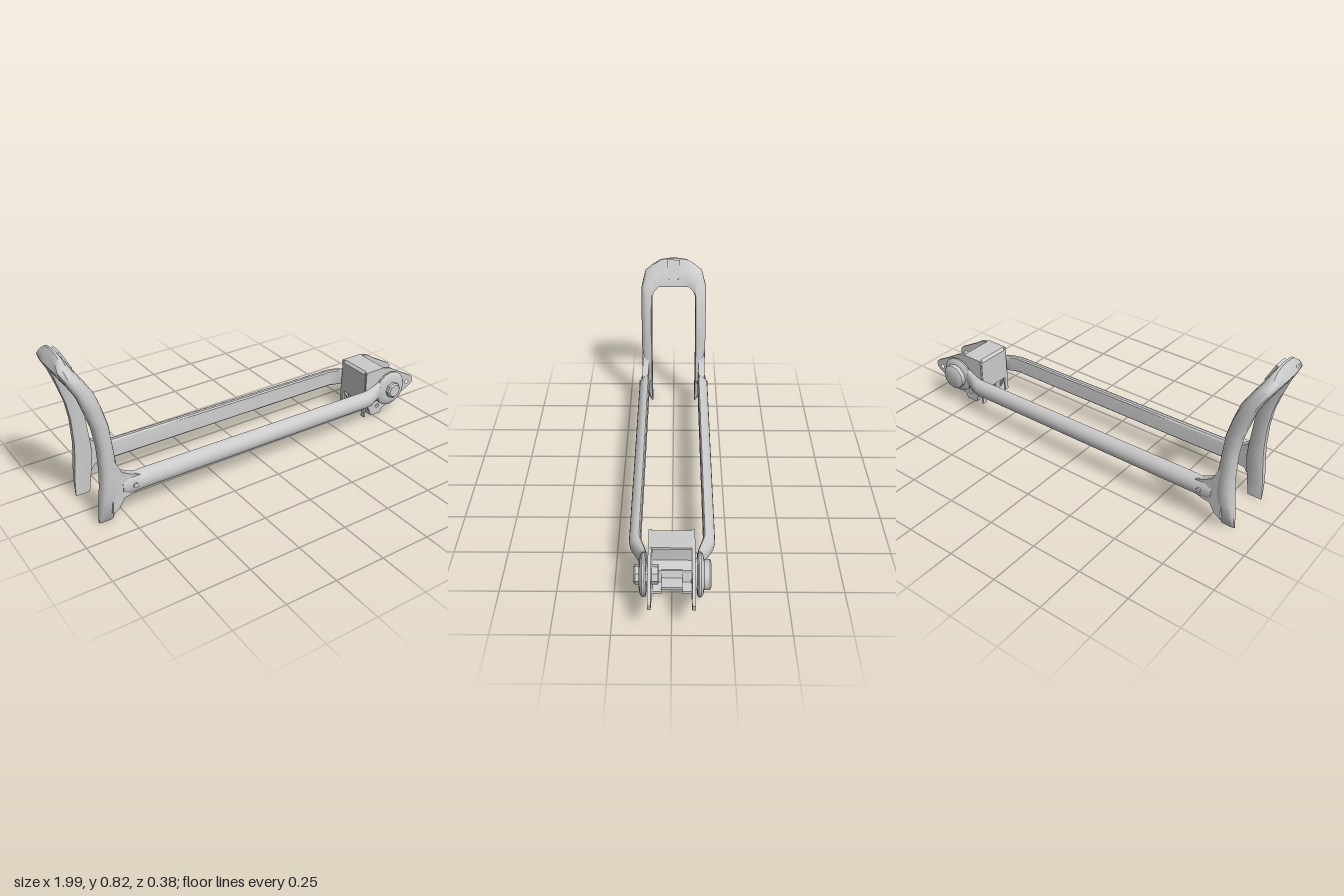
import * as THREE from 'three';
import { toCreasedNormals } from 'three/addons/utils/BufferGeometryUtils.js';

const material = new THREE.MeshStandardMaterial({ color: 0xcccccc });

// Mesh from a closed solid, optionally mirrored in z, with outward faces and creased normals
function solid(name, geometry, side = 1, crease = 0.7) {
  const geo = geometry.index ? geometry.toNonIndexed() : geometry.clone();
  for (const key of ['uv', 'normal']) geo.deleteAttribute(key);
  geo.scale(1, 1, side);
  const p = geo.attributes.position;
  const a = new THREE.Vector3(), b = new THREE.Vector3(), c = new THREE.Vector3();
  let volume = 0;
  const read = (i) => {
    a.fromBufferAttribute(p, i);
    b.fromBufferAttribute(p, i + 1);
    c.fromBufferAttribute(p, i + 2);
  };
  for (let i = 0; i < p.count; i += 3) {
    read(i);
    volume += a.dot(b.clone().cross(c));
  }
  if (volume < 0) {
    for (let i = 0; i < p.count; i += 3) {
      read(i);
      p.setXYZ(i + 1, c.x, c.y, c.z);
      p.setXYZ(i + 2, b.x, b.y, b.z);
    }
  }
  geo.computeVertexNormals();
  const mesh = new THREE.Mesh(toCreasedNormals(geo, crease), material);
  mesh.name = name;
  return mesh;
}

// Skin over a row of equal-length cross-sections, capped at both ends
function loft(sections) {
  const n = sections[0].length, last = (sections.length - 1) * n;
  const index = [];
  for (let i = 0; i < sections.length - 1; i++) {
    for (let j = 0; j < n; j++) {
      const k = (j + 1) % n, r = i * n, q = r + n;
      index.push(r + j, r + k, q + j, r + k, q + k, q + j);
    }
  }
  for (let j = 1; j < n - 1; j++) {
    index.push(0, j + 1, j, last, last + j, last + j + 1);
  }
  const geo = new THREE.BufferGeometry();
  geo.setAttribute('position', new THREE.Float32BufferAttribute(sections.flat(2), 3));
  geo.setIndex(index);
  return geo;
}

// Flat plate in the xy plane between two z depths, with round holes [x, y, r]
function plate(points, z0, z1, holes = []) {
  const shape = new THREE.Shape(points.map(([x, y]) => new THREE.Vector2(x, y)));
  for (const [x, y, r] of holes) {
    shape.holes.push(new THREE.Path().absarc(x, y, r, 0, Math.PI * 2, true));
  }
  return new THREE.ExtrudeGeometry(shape, { depth: z1 - z0, bevelEnabled: false, curveSegments: 8 })
    .translate(0, 0, z0);
}

function box(x0, x1, y0, y1, z0, z1) {
  return new THREE.BoxGeometry(x1 - x0, y1 - y0, z1 - z0)
    .translate((x0 + x1) / 2, (y0 + y1) / 2, (z0 + z1) / 2);
}

// Round part along z at the pivot, from a profile of [radius, z]
const PIVOT = [0.815, 0.165];
function turned(profile, sides) {
  return new THREE.LatheGeometry(profile.map(([r, z]) => new THREE.Vector2(r, z)), sides)
    .rotateX(Math.PI / 2).translate(PIVOT[0], PIVOT[1], 0);
}

// Back and front x of the leaning hoop at a given height
const LEAN = [
  [0, -0.882, -0.813], [0.1, -0.877, -0.795], [0.2, -0.866, -0.782], [0.28, -0.862, -0.787],
  [0.4, -0.866, -0.8], [0.5, -0.882, -0.81], [0.65, -0.93, -0.852], [0.72, -0.968, -0.893],
  [0.77, -0.998, -0.922], [0.83, -0.972, -0.948],
];
function leanAt(y, k) {
  let i = 0;
  while (i < LEAN.length - 2 && y > LEAN[i + 1][0]) i++;
  const [y0, b0, f0] = LEAN[i], [y1, b1, f1] = LEAN[i + 1];
  const t = (y - y0) / (y1 - y0), mix = THREE.MathUtils.lerp;
  return mix(mix(b0, b1, t), mix(f0, f1, t), (k + 1) / 2);
}

function hoopGeometry() {
  // outer z, outer y, inner z, inner y
  const half = [
    [0.126, 0, 0.119, 0.004], [0.14, 0.025, 0.12, 0.025], [0.16, 0.075, 0.12, 0.075],
    [0.174, 0.14, 0.12, 0.14], [0.176, 0.2, 0.12, 0.2], [0.176, 0.28, 0.12, 0.28],
    [0.177, 0.4, 0.12, 0.4], [0.177, 0.5, 0.12, 0.49], [0.177, 0.6, 0.119, 0.57],
    [0.176, 0.685, 0.117, 0.645], [0.155, 0.755, 0.106, 0.67], [0.115, 0.787, 0.08, 0.69],
    [0.07, 0.817, 0.05, 0.69], [0.02, 0.825, 0.015, 0.69],
  ];
  const rows = [...half, ...half.slice().reverse().map(([a, b, c, d]) => [-a, b, -c, d])];
  // across from inner to outer, and from back to front
  const section = [[0, -0.85], [0, 0.85], [0.08, 1], [0.55, 1], [0.85, 0.8], [1, 0.35],
    [1, -0.35], [0.85, -0.8], [0.55, -1], [0.08, -1]];
  return loft(rows.map(([oz, oy, iz, iy]) => section.map(([t, k]) => {
    const y = iy + (oy - iy) * t;
    return [leanAt(y, k), y, iz + (oz - iz) * t];
  })));
}

function barGeometry() {
  // x, centre y, half height, inner z, outer z
  const rows = [
    [-0.775, 0.178, 0.03, 0.16, 0.178], [-0.745, 0.178, 0.052, 0.148, 0.182],
    [-0.68, 0.179, 0.048, 0.135, 0.19], [0.62, 0.169, 0.045, 0.137, 0.188],
    [0.65, 0.168, 0.045, 0.13, 0.181], [0.7, 0.166, 0.045, 0.114, 0.153],
    [0.735, 0.165, 0.053, 0.108, 0.135], [0.79, 0.165, 0.075, 0.108, 0.13],
  ];
  const section = [[0, -0.85], [0, 0.85], [0.12, 1], [0.45, 0.96], [0.75, 0.75], [0.95, 0.4],
    [1, 0], [0.95, -0.4], [0.75, -0.75], [0.45, -0.96], [0.12, -1]];
  return loft(rows.map(([x, y, h, z0, z1]) =>
    section.map(([t, k]) => [x, y + h * k, z0 + (z1 - z0) * t])));
}

function addHoop(parent) {
  const hoop = new THREE.Group();
  hoop.name = 'hoop';
  hoop.add(solid('hoopFrame', hoopGeometry(), 1, 0.75));
  // rounded catch on the middle of the crossbar
  const catchShape = new THREE.Shape();
  catchShape.moveTo(-0.035, 0.055).lineTo(-0.035, -0.025);
  catchShape.absarc(0, -0.025, 0.035, Math.PI, Math.PI * 2, false);
  catchShape.lineTo(0.035, 0.055);
  const catchGeo = new THREE.ExtrudeGeometry(catchShape, { depth: 0.025, bevelEnabled: false })
    .rotateY(Math.PI / 2).rotateZ(0.48).translate(-0.937, 0.763, 0);
  hoop.add(solid('crossbarCatch', catchGeo));
  parent.add(hoop);
}

function addArm(parent, side) {
  const arm = new THREE.Group();
  arm.name = side > 0 ? 'frontArm' : 'backArm';
  const gusset = [[-0.82, 0.36], [-0.79, 0.29], [-0.775, 0.258], [-0.735, 0.235], [-0.66, 0.205],
    [-0.66, 0.155], [-0.73, 0.132], [-0.77, 0.125], [-0.8, 0.08], [-0.83, 0.06]];
  arm.add(solid('gusset', plate(gusset, 0.14, 0.174), side));
  arm.add(solid('armBar', barGeometry(), side));
  arm.add(solid('armPin', new THREE.CylinderGeometry(0.012, 0.012, 0.06, 10)
    .rotateX(Math.PI / 2).translate(-0.72, 0.178, 0.161), side));
  arm.add(solid('pivotEye', turned([[0, 0.107], [0.088, 0.107], [0.094, 0.113], [0.094, 0.122],
    [0.084, 0.131], [0.062, 0.136], [0, 0.136]], 16), side, 0.6));
  // the front arm carries a bolt with a nut inside, the back arm a broad head
  if (side > 0) {
    arm.add(solid('pivotBolt', turned([[0, 0.056], [0.042, 0.056], [0.042, 0.152], [0.034, 0.16],
      [0, 0.16]], 8), side, 0.4));
  } else {
    arm.add(solid('pivotHead', turned([[0, 0.09], [0.066, 0.09], [0.066, 0.158], [0.058, 0.164],
      [0, 0.164]], 12), side));
  }
  parent.add(arm);
}

function addBracket(parent) {
  const bracket = new THREE.Group();
  bracket.name = 'bracket';
  const cheek = [[0.667, 0.285], [0.78, 0.285], [0.83, 0.272], [0.88, 0.24], [0.985, 0.182],
    [0.998, 0.165], [0.995, 0.14], [0.975, 0.125], [0.83, 0.06], [0.79, 0.045], [0.78, 0.02],
    [0.715, 0.02], [0.7, 0.06], [0.667, 0.1]];
  for (const side of [1, -1]) {
    bracket.add(solid('cheekPlate', plate(cheek, 0.084, 0.098,
      [[0.957, 0.152, 0.011], [0.755, 0.067, 0.011]]), side));
    bracket.add(solid('lowerLip', plate([[0.715, 0.02], [0.78, 0.02], [0.78, 0.032],
      [0.73, 0.04], [0.715, 0.095], [0.703, 0.095]], 0.045, 0.09), side));
    bracket.add(solid('rearProng', box(0.664, 0.674, 0.025, 0.13, 0.075, 0.098), side));
  }
  // back wall folding over into the top flange
  const web = [[0.664, 0.105], [0.664, 0.272], [0.677, 0.285], [0.785, 0.285], [0.785, 0.273],
    [0.71, 0.266], [0.685, 0.245], [0.678, 0.2], [0.678, 0.105]];
  bracket.add(solid('web', plate(web, -0.09, 0.09)));
  // floor and its small front tab
  bracket.add(solid('floor', plate([[0.664, 0.105], [0.678, 0.118], [0.72, 0.098], [0.72, 0.084]],
    -0.09, 0.09)));
  bracket.add(solid('floorTab', plate([[0.705, 0.1], [0.718, 0.1], [0.73, 0.064], [0.785, 0.06],
    [0.785, 0.046], [0.72, 0.04]], -0.045, 0.045)));
  parent.add(bracket);
}

export function createModel() {
  const model = new THREE.Group();
  model.name = 'hoopedLinkage';
  addHoop(model);
  for (const side of [1, -1]) addArm(model, side);
  addBracket(model);
  return model;
}
